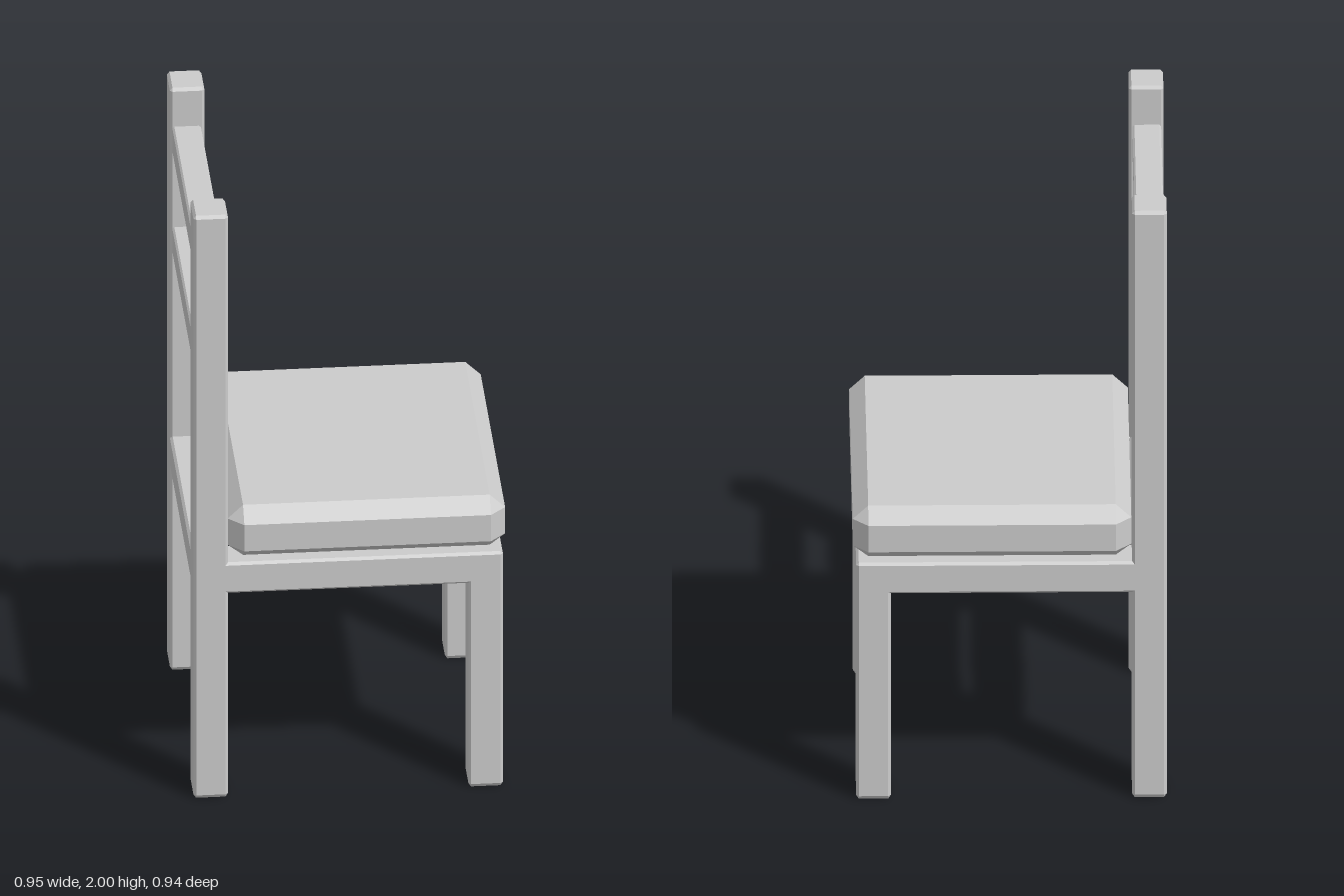
import * as THREE from 'three';
import { ConvexGeometry } from 'three/addons/geometries/ConvexGeometry.js';

const material = new THREE.MeshStandardMaterial({ color: 0xcccccc, flatShading: true, side: THREE.DoubleSide });

// Box between two corners with all edges chamfered; bevels are given for the sides, top and bottom.
function chamferBox(name, [x0, y0, z0], [x1, y1, z1], side, top = side, bottom = side, openBottom = false) {
  const points = [];
  for (const [x, sx] of [[x0, 1], [x1, -1]])
    for (const [y, by] of [[y0, bottom], [y1, -top]])
      for (const [z, sz] of [[z0, 1], [z1, -1]]) {
        points.push(new THREE.Vector3(x, y + by, z + sz * side));
        points.push(new THREE.Vector3(x + sx * side, y, z + sz * side));
        points.push(new THREE.Vector3(x + sx * side, y + by, z));
      }
  let geometry = new ConvexGeometry(points);
  if (openBottom) {
    // drop the cap triangles that lie flat at the foot
    const p = geometry.attributes.position.array, kept = [];
    for (let i = 0; i < p.length; i += 9) {
      if (Math.max(p[i + 1], p[i + 4], p[i + 7]) > y0 + 1e-5) kept.push(...p.slice(i, i + 9));
    }
    geometry = new THREE.BufferGeometry();
    geometry.setAttribute('position', new THREE.Float32BufferAttribute(kept, 3));
    geometry.computeVertexNormals();
  }
  const mesh = new THREE.Mesh(geometry, material);
  mesh.name = name;
  return mesh;
}

export function createModel() {
  const chair = new THREE.Group();
  chair.name = 'chair';

  const back = -0.475, backIn = -0.37, frontIn = 0.36, front = 0.465; // leg faces along x
  const outer = 0.47, inner = 0.35;                                   // leg faces along z
  const railLow = 0.7, railTop = 0.805, lap = 0.02, bevel = 0.008;

  for (const s of [1, -1]) {
    const z0 = s > 0 ? inner : -outer, z1 = s > 0 ? outer : -inner;
    // tall back posts and short front legs, hollow at the foot
    chair.add(chamferBox('backPost', [back, 0, z0], [backIn, 2, z1], bevel, 0.01, 0.012, true));
    chair.add(chamferBox('frontLeg', [frontIn, 0, z0], [front, railTop, z1], bevel, bevel, 0.012, true));
    // side rails run into the legs
    chair.add(chamferBox('sideRail', [backIn - lap, railLow, z0], [frontIn + lap, railTop, z1], bevel));
  }

  // front and back seat rails
  for (const [name, x0, x1] of [['backRail', back, backIn], ['frontRail', frontIn, front]]) {
    chair.add(chamferBox(name, [x0, railLow, -inner - lap], [x1, railTop, inner + lap], bevel));
  }

  // backrest slats
  for (const y of [1.435, 1.78]) {
    chair.add(chamferBox('backSlat', [-0.468, y, -inner - lap], [-0.381, y + 0.09, inner + lap], 0.006));
  }

  // thick chamfered cushion
  chair.add(chamferBox('cushion', [-0.368, 0.808, -0.472], [0.475, 0.98, 0.472], 0.047, 0.045, 0.037));

  return chair;
}
